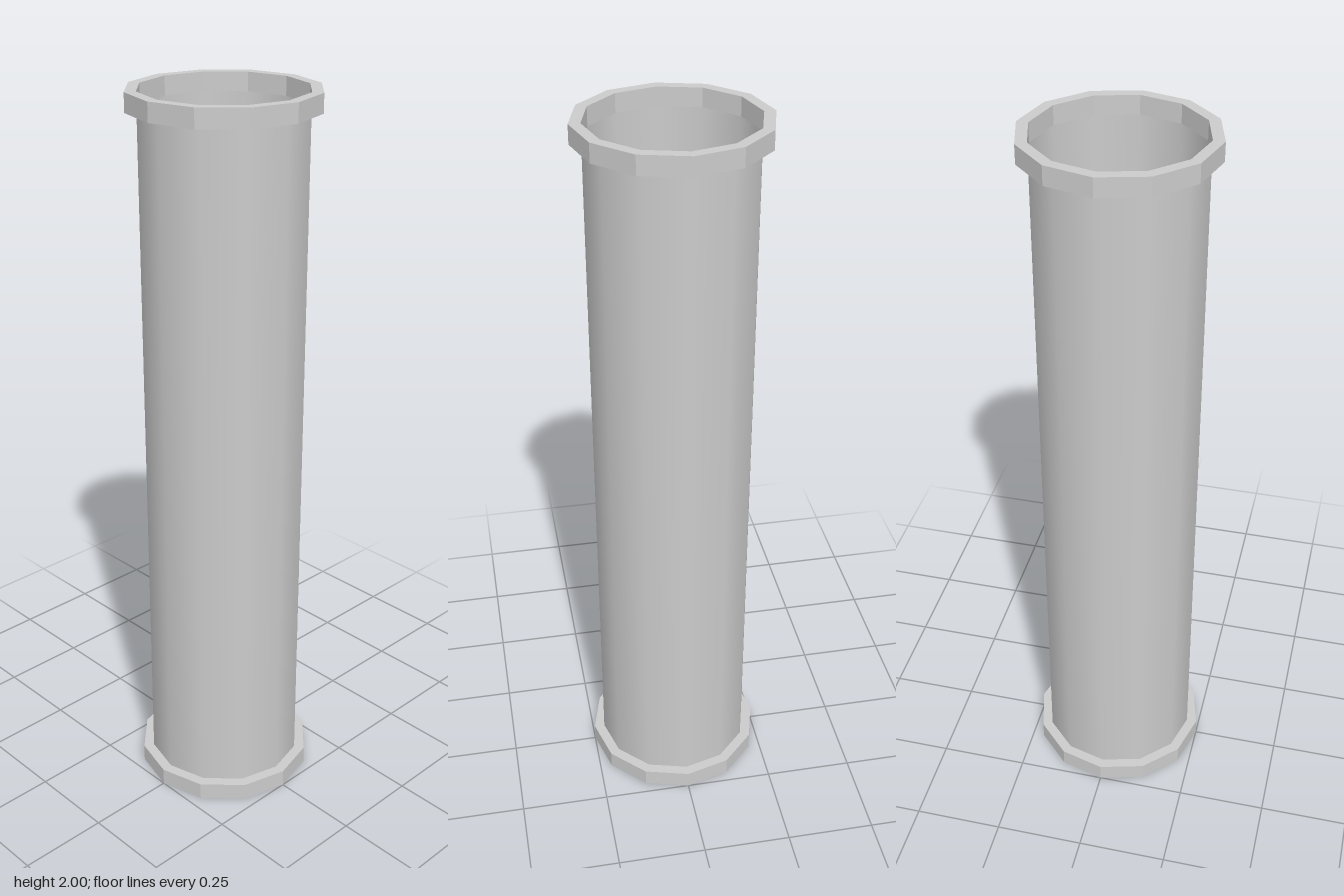
import * as THREE from 'three';

const SIDES = 12;
const HEIGHT = 2;
const BORE = 0.22;
const RIM_RADIUS = 0.25;
const RIM_HEIGHT = 0.05;

const lathe = (points) =>
  new THREE.LatheGeometry(points.map(([r, y]) => new THREE.Vector2(r, y)), SIDES);

export function createModel() {
  const model = new THREE.Group();
  model.name = 'pipe';

  // Thin open tube, smooth around, seen from inside and outside
  const tube = new THREE.Mesh(
    lathe([[BORE, RIM_HEIGHT], [BORE, HEIGHT - RIM_HEIGHT]]),
    new THREE.MeshStandardMaterial({ color: 0xcccccc, side: THREE.DoubleSide })
  );
  tube.name = 'tube';
  model.add(tube);

  // Faceted collar with a rectangular section at each end
  const collarGeometry = lathe([
    [BORE, 0], [RIM_RADIUS, 0], [RIM_RADIUS, RIM_HEIGHT], [BORE, RIM_HEIGHT], [BORE, 0],
  ]);
  const collarMaterial = new THREE.MeshStandardMaterial({ color: 0xcccccc, flatShading: true });
  for (const [name, y] of [['bottomCollar', 0], ['topCollar', HEIGHT - RIM_HEIGHT]]) {
    const collar = new THREE.Mesh(collarGeometry, collarMaterial);
    collar.name = name;
    collar.position.y = y;
    model.add(collar);
  }

  return model;
}
